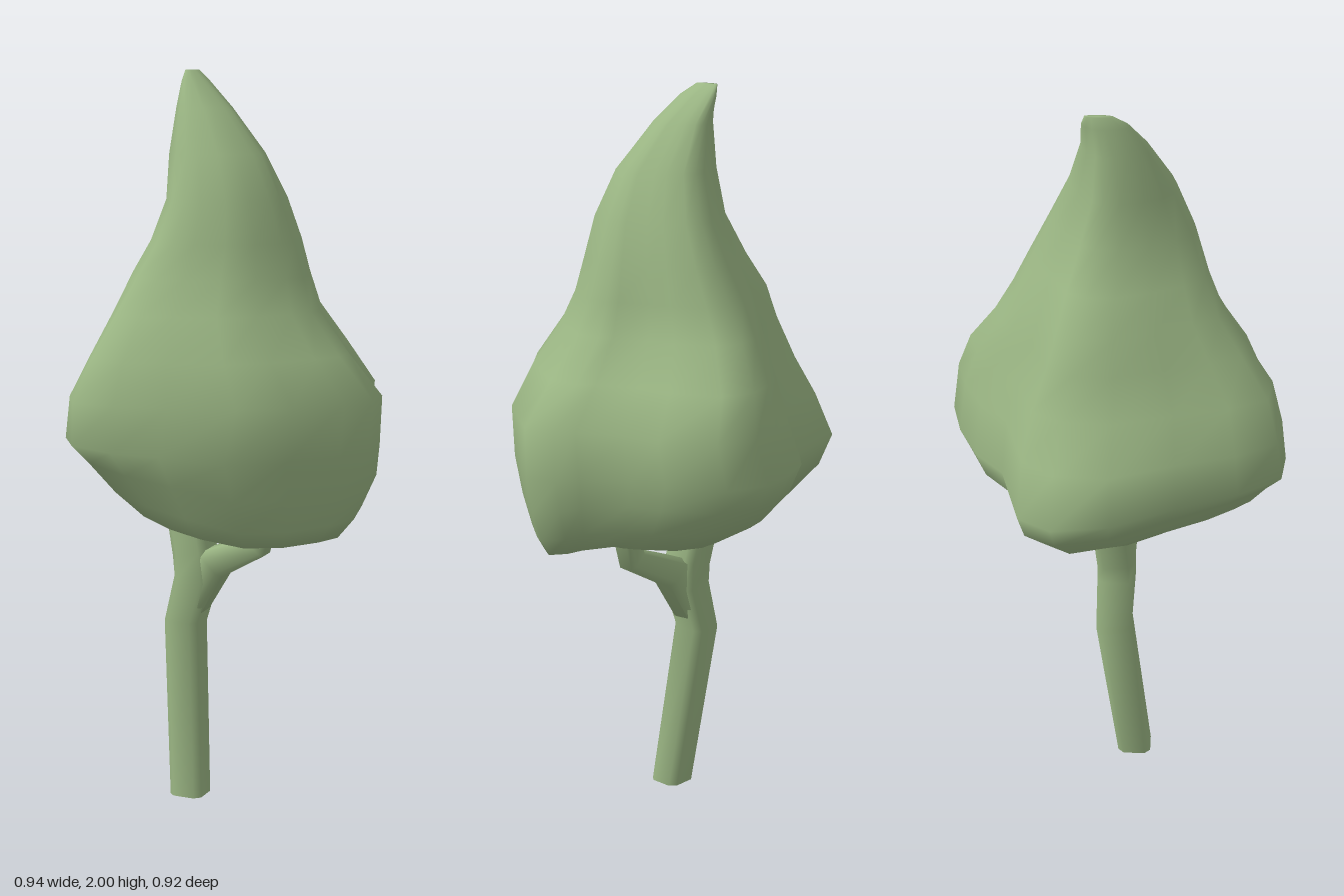
import * as THREE from 'three';
import { toCreasedNormals } from 'three/addons/utils/BufferGeometryUtils.js';

const material = new THREE.MeshStandardMaterial({ color: 0x9ab583 });
const { smoothstep, lerp } = THREE.MathUtils;

// Skin a list of equal-length point rings, closing both ends with fans
function loft(rings) {
  const n = rings[0].length;
  const positions = [], index = [];
  rings.forEach(r => r.forEach(p => positions.push(p.x, p.y, p.z)));
  for (let j = 0; j < rings.length - 1; j++) {
    for (let i = 0; i < n; i++) {
      const a = j * n + i, b = j * n + (i + 1) % n;
      index.push(a, b, b + n, a, b + n, a + n);
    }
  }
  [0, rings.length - 1].forEach((j, end) => {
    const c = new THREE.Vector3();
    rings[j].forEach(p => c.addScaledVector(p, 1 / n));
    const k = positions.push(c.x, c.y, c.z) / 3 - 1;
    for (let i = 0; i < n; i++) {
      const a = j * n + i, b = j * n + (i + 1) % n;
      if (end) index.push(k, a, b); else index.push(k, b, a);
    }
  });
  const g = new THREE.BufferGeometry();
  g.setAttribute('position', new THREE.Float32BufferAttribute(positions, 3));
  g.setIndex(index);
  g.computeVertexNormals();
  return g;
}

// Eight-sided limb, a square with cut corners, through [x, y, z, half width] stations
function limb(name, stations) {
  const pts = stations.map(s => new THREE.Vector3(s[0], s[1], s[2]));
  const corners = [[1, -0.65], [1, 0.65], [0.65, 1], [-0.65, 1], [-1, 0.65], [-1, -0.65], [-0.65, -1], [0.65, -1]];
  const rings = pts.map((p, j) => {
    const t = pts[Math.min(j + 1, pts.length - 1)].clone().sub(pts[Math.max(j - 1, 0)]);
    if (j === 0) t.set(0, 1, 0);
    t.normalize();
    const v = new THREE.Vector3(0, 0, -1);
    v.addScaledVector(t, -v.dot(t)).normalize();
    const u = v.clone().cross(t);
    return corners.map(([a, b]) => p.clone()
      .addScaledVector(u, stations[j][3] * a).addScaledVector(v, stations[j][3] * b));
  });
  const mesh = new THREE.Mesh(toCreasedNormals(loft(rings), 1.1), material);
  mesh.name = name;
  return mesh;
}

// Lobed plan of the foliage, [x, z]
const plan = [
  [-0.475, -0.15], [-0.41, -0.24], [-0.19, -0.3], [-0.1, -0.38], [0.02, -0.435],
  [0.14, -0.465], [0.26, -0.43], [0.34, -0.29], [0.355, -0.18], [0.42, -0.06],
  [0.465, -0.02], [0.475, 0.08], [0.42, 0.16], [0.32, 0.29], [0.19, 0.385],
  [0.02, 0.42], [-0.1, 0.46], [-0.22, 0.445], [-0.3, 0.33], [-0.37, 0.17], [-0.46, 0],
];

// Foliage levels from tip to underside: [y, xMin, xMax, zMin, zMax]
const levels = [
  [2.0, -0.11, -0.09, -0.075, 0.0],
  [1.97, -0.115, -0.05, -0.085, 0.04],
  [1.9, -0.125, 0.03, -0.09, 0.09],
  [1.78, -0.137, 0.135, -0.125, 0.16],
  [1.66, -0.145, 0.195, -0.18, 0.21],
  [1.55, -0.2, 0.235, -0.235, 0.245],
  [1.46, -0.262, 0.262, -0.28, 0.285],
  [1.37, -0.285, 0.29, -0.33, 0.345],
  [1.26, -0.325, 0.375, -0.405, 0.42],
  [1.15, -0.4, 0.47, -0.445, 0.45],
  [1.02, -0.475, 0.465, -0.46, 0.465],
  [0.94, -0.43, 0.455, -0.43, 0.425],
  [0.86, -0.34, 0.42, -0.36, 0.385],
  [0.81, -0.24, 0.38, -0.26, 0.34],
  [0.79, -0.08, 0.28, -0.1, 0.25],
];

function foliage() {
  const rings = levels.map(([y, x0, x1, z0, z1]) => plan.map(([px, pz]) => {
    // The plan rounds off towards the tip
    const round = 0.6 * smoothstep(y, 1.2, 1.85);
    const a = Math.atan2(pz / 0.465, px / 0.475);
    const u = lerp(px / 0.475, Math.cos(a), round);
    const w = lerp(pz / 0.465, Math.sin(a), round);
    const x = (x0 + x1) / 2 + u * (x1 - x0) / 2;
    const z = (z0 + z1) / 2 + w * (z1 - z0) / 2;
    // The front corner on the right is full at the shoulder and high underneath
    const corner = Math.max(0, z - x - 0.2);
    const push = 0.15 * corner * smoothstep(y, 1.02, 1.15) * (1 - smoothstep(y, 1.26, 1.5));
    // The back corner on the left also rises, the front left one sags
    const low = 1 - smoothstep(y, 0.86, 1.1);
    const lift = low * (0.17 * corner + 0.09 * Math.max(0, x - z - 0.25));
    const sag = low * 0.15 * Math.max(0, x + z - 0.25);
    return new THREE.Vector3(x - push, y + lift - sag, z);
  }));
  const mesh = new THREE.Mesh(loft(rings), material);
  mesh.name = 'foliage';
  return mesh;
}

export function createModel() {
  const tree = new THREE.Group();
  tree.name = 'tree';
  tree.add(
    foliage(),
    limb('trunk', [
      [-0.067, 0, 0.058, 0.047], [-0.107, 0.48, 0, 0.05], [-0.07, 0.61, 0.005, 0.053],
      [-0.075, 0.68, 0.005, 0.053], [-0.11, 0.84, -0.01, 0.052],
    ]),
    limb('sideBranch', [
      [-0.095, 0.5, 0.002, 0.04], [-0.01, 0.66, 0.01, 0.046],
      [0.125, 0.722, 0.03, 0.034], [0.152, 0.84, 0.03, 0.035],
    ]),
  );
  return tree;
}
